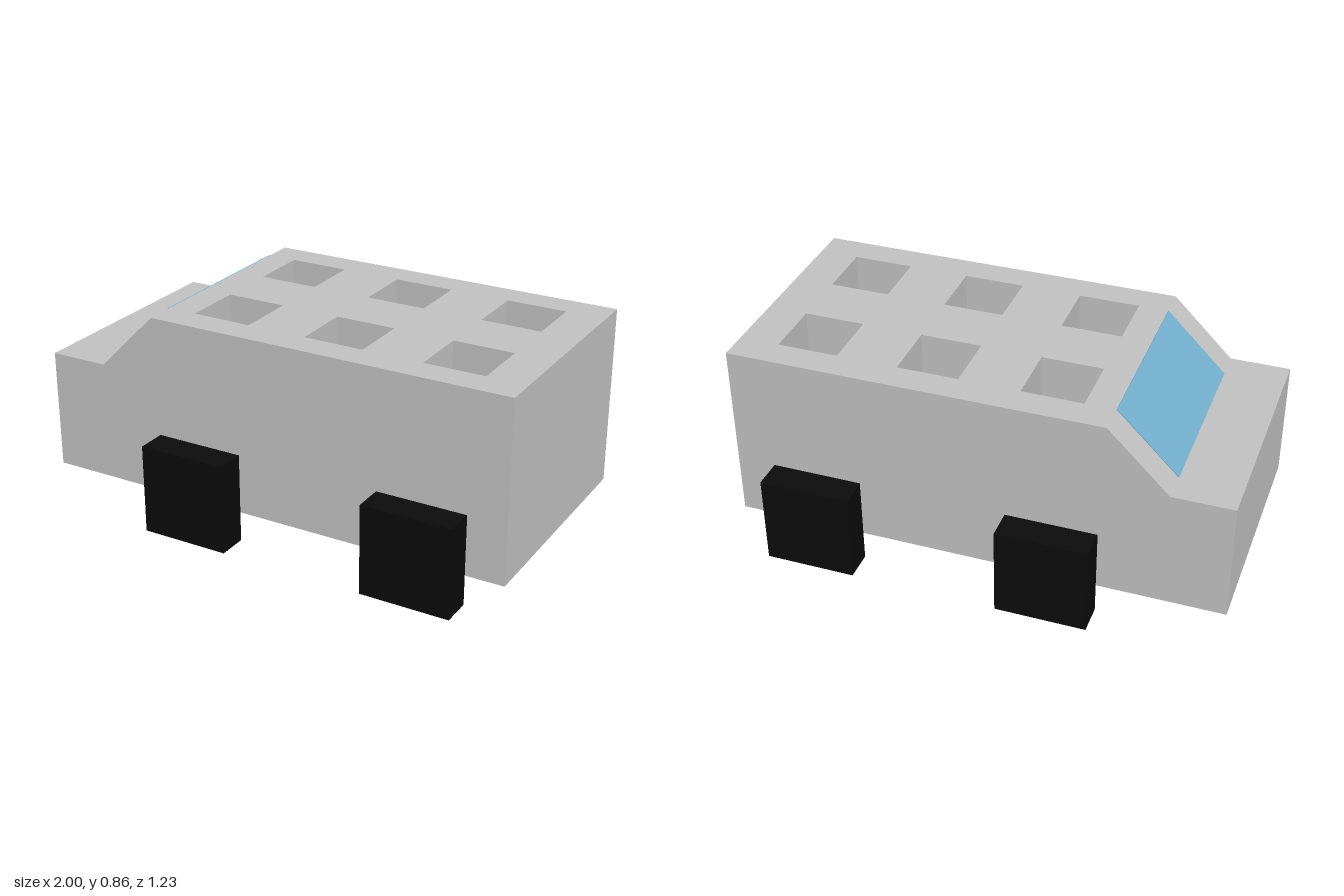
import * as THREE from 'three';

const mat = (name, color) => {
  const m = new THREE.MeshStandardMaterial({ color });
  m.name = name;
  return m;
};

// Rectangle path centred on (x, y)
function rect(path, x, y, w, h) {
  path.moveTo(x - w / 2, y - h / 2);
  path.lineTo(x + w / 2, y - h / 2);
  path.lineTo(x + w / 2, y + h / 2);
  path.lineTo(x - w / 2, y + h / 2);
  path.closePath();
  return path;
}

export function createModel() {
  const group = new THREE.Group();
  group.name = 'blockVan';
  const grey = mat('bodyGrey', 0xc0c0c0);
  const blue = mat('glassBlue', 0x74b0ce);
  const black = mat('tyreBlack', 0x0b0b0b);

  const add = (name, geometry, material, x, y, z) => {
    const mesh = new THREE.Mesh(geometry, material);
    mesh.name = name;
    mesh.position.set(x, y, z);
    group.add(mesh);
    return mesh;
  };

  const width = 0.98, floorY = 0.123, hoodY = 0.615, roofY = 0.86;
  const slopeTop = -0.51, slopeBottom = -0.755;

  // Lower body, whose top is the hood and the floor of the roof sockets
  add('lowerBody', new THREE.BoxGeometry(2, hoodY - floorY, width), grey, 0, (hoodY + floorY) / 2, 0);

  // Upper body with six square sockets, its front pulled out into a slope
  const outline = rect(new THREE.Shape(), (1 + slopeTop) / 2, 0, 1 - slopeTop, width);
  for (const x of [-0.267, 0.224, 0.716])
    for (const z of [-0.245, 0.245])
      outline.holes.push(rect(new THREE.Path(), x, z, 0.246, 0.246));
  const upper = new THREE.ExtrudeGeometry(outline, { depth: roofY - hoodY, bevelEnabled: false });
  upper.rotateX(-Math.PI / 2);
  const p = upper.attributes.position;
  for (let i = 0; i < p.count; i++)
    if (p.getX(i) < slopeTop + 0.01 && p.getY(i) < 0.01) p.setX(i, slopeBottom);
  upper.computeVertexNormals();
  add('upperBody', upper, grey, 0, hoodY, 0);

  // Windscreen plate on the slope
  const rise = roofY - hoodY, run = slopeTop - slopeBottom;
  const screen = add('windscreen', new THREE.BoxGeometry(Math.hypot(rise, run), 0.006, 0.735), blue,
    (slopeTop + slopeBottom) / 2, (roofY + hoodY) / 2, 0);
  screen.rotation.z = Math.atan2(rise, run);

  // Square wheels against the sides
  for (const [end, x] of [['front', -0.307], ['rear', 0.659]])
    for (const [side, s] of [['Near', 1], ['Far', -1]])
      add(end + side + 'Wheel', new THREE.BoxGeometry(0.368, 0.37, 0.123), black, x, 0.185, s * 0.5515);

  return group;
}
